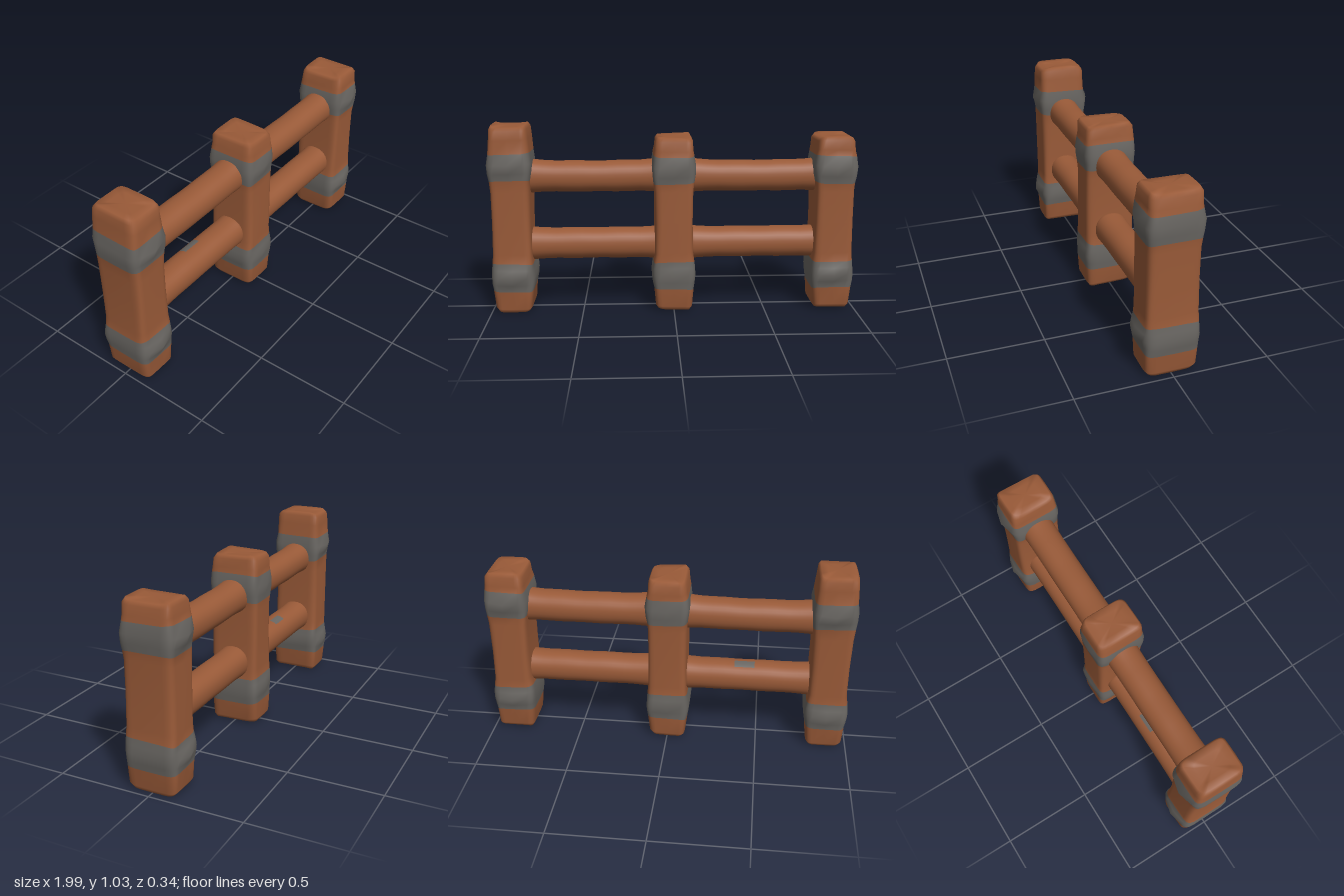
import * as THREE from 'three';

const wood = new THREE.MeshStandardMaterial({ color: 0x995a38 });
wood.name = 'brown wood';
const iron = new THREE.MeshStandardMaterial({ color: 0x686561 });
iron.name = 'grey iron';
const SIDES = 32;

// Lofts rounded sections upward. Each section: [y, half x, half z, ridge on z faces, material of the span above, x shift]
function loft(sections, power, wobble = 0, seed = 0) {
  const pos = [], index = [], geo = new THREE.BufferGeometry();
  const bend = (v) => Math.sign(v) * Math.pow(Math.abs(v), 2 / power);
  sections.forEach(([y, hx, hz, ridge = 0, , shift = 0], i) => {
    for (let j = 0; j < SIDES; j++) {
      const t = (j / SIDES) * Math.PI * 2;
      const cx = bend(Math.abs(Math.cos(t)) < 1e-6 ? 0 : Math.cos(t));
      const cz = bend(Math.abs(Math.sin(t)) < 1e-6 ? 0 : Math.sin(t));
      const w = 1 + wobble * Math.sin(3 * t + seed * 2 + i * 1.3);
      const dy = wobble * 0.4 * Math.sin(2 * t + seed + i * 0.4);
      pos.push(cx * hx * w + shift, y + dy, cz * hz * w + Math.sign(cz) * ridge * (1 - Math.abs(cx)));
    }
  });
  for (let i = 0; i < sections.length - 1; i++) {
    const start = index.length;
    for (let j = 0; j < SIDES; j++) {
      const k = (j + 1) % SIDES;
      const a = i * SIDES + j, b = i * SIDES + k, c = a + SIDES, d = b + SIDES;
      index.push(a, c, b, b, c, d);
    }
    geo.addGroup(start, index.length - start, sections[i][4] || 0);
  }
  // End caps
  const start = index.length, last = (sections.length - 1) * SIDES, mid = pos.length / 3;
  const first = sections[0], end = sections[sections.length - 1];
  pos.push(first[5] || 0, first[0], 0, end[5] || 0, end[0], 0);
  for (let j = 0; j < SIDES; j++) {
    const k = (j + 1) % SIDES;
    index.push(mid, j, k, mid + 1, last + k, last + j);
  }
  geo.addGroup(start, index.length - start, 0);
  geo.setAttribute('position', new THREE.Float32BufferAttribute(pos, 3));
  geo.setIndex(index);
  geo.computeVertexNormals();
  return geo;
}

// Square post with two iron bands
function post(name, x, top, bandY, ridge, seed) {
  const geo = loft([
    [0.008, 0.06, 0.085],
    [0.01, 0.09, 0.12],
    [0.03, 0.101, 0.134],
    [0.128, 0.11, 0.138, 0, 1],
    [0.165, 0.117, 0.138, ridge * 0.5, 1],
    [0.205, 0.12, 0.139, ridge, 1],
    [0.245, 0.117, 0.138, ridge * 0.5, 1],
    [0.28, 0.112, 0.137],
    [0.33, 0.106, 0.135],
    [0.5, 0.104, 0.134],
    [0.67, 0.106, 0.134],
    [bandY - 0.073, 0.111, 0.136, 0, 1],
    [bandY - 0.035, 0.117, 0.137, ridge * 0.45, 1],
    [bandY + 0.015, 0.12, 0.138, ridge, 1],
    [bandY + 0.073, 0.111, 0.136],
    [top - 0.07, 0.105, 0.133],
    [top - 0.022, 0.101, 0.13],
    [top - 0.003, 0.09, 0.117],
    [top - 0.004, 0.055, 0.075],
  ], 7, 0.012, seed);
  const mesh = new THREE.Mesh(geo, [wood, iron]);
  mesh.name = name;
  mesh.position.x = x;
  return mesh;
}

// Round rail running along x, flared where it meets the posts
function rail(name, x0, x1, y, sag, flare) {
  const sections = [];
  for (let i = 0; i <= 12; i++) {
    const u = i / 12, e = Math.pow(Math.abs(2 * u - 1), 5);
    const r = 0.084 + flare * e + 0.0015 * Math.sin(i * 1.7);
    sections.push([x0 + (x1 - x0) * u, r, 0.086 + 0.006 * e, 0, 0, sag * Math.sin(Math.PI * u)]);
  }
  const geo = loft(sections, 2.2);
  geo.rotateZ(-Math.PI / 2);
  const mesh = new THREE.Mesh(geo, [wood, iron]);
  mesh.name = name;
  mesh.position.y = y;
  return mesh;
}

export function createModel() {
  const group = new THREE.Group();
  group.name = 'fence';
  group.add(
    post('rightPost', -0.877, 1.028, 0.81, 0.03, 1),
    post('middlePost', 0, 0.963, 0.79, 0.015, 2.4),
    post('leftPost', 0.873, 0.963, 0.79, 0.03, 4),
    rail('upperRightRail', -0.83, -0.05, 0.747, 0.006, 0.013),
    rail('upperLeftRail', 0.05, 0.83, 0.745, 0.006, 0.012),
    rail('lowerRightRail', -0.83, -0.05, 0.367, 0, 0.009),
    rail('lowerLeftRail', 0.05, 0.83, 0.366, 0, 0.009),
  );

  // Small worn iron patch on top of one rail
  const patch = new THREE.Mesh(new THREE.CylinderGeometry(0.09, 0.09, 0.11, 6, 1, true, -0.25, 0.5), iron);
  patch.name = 'railPatch';
  patch.geometry.rotateZ(Math.PI / 2);
  patch.geometry.rotateX(-Math.PI / 2 - 0.35);
  patch.position.set(-0.42, 0.367, 0);
  group.add(patch);
  return group;
}
